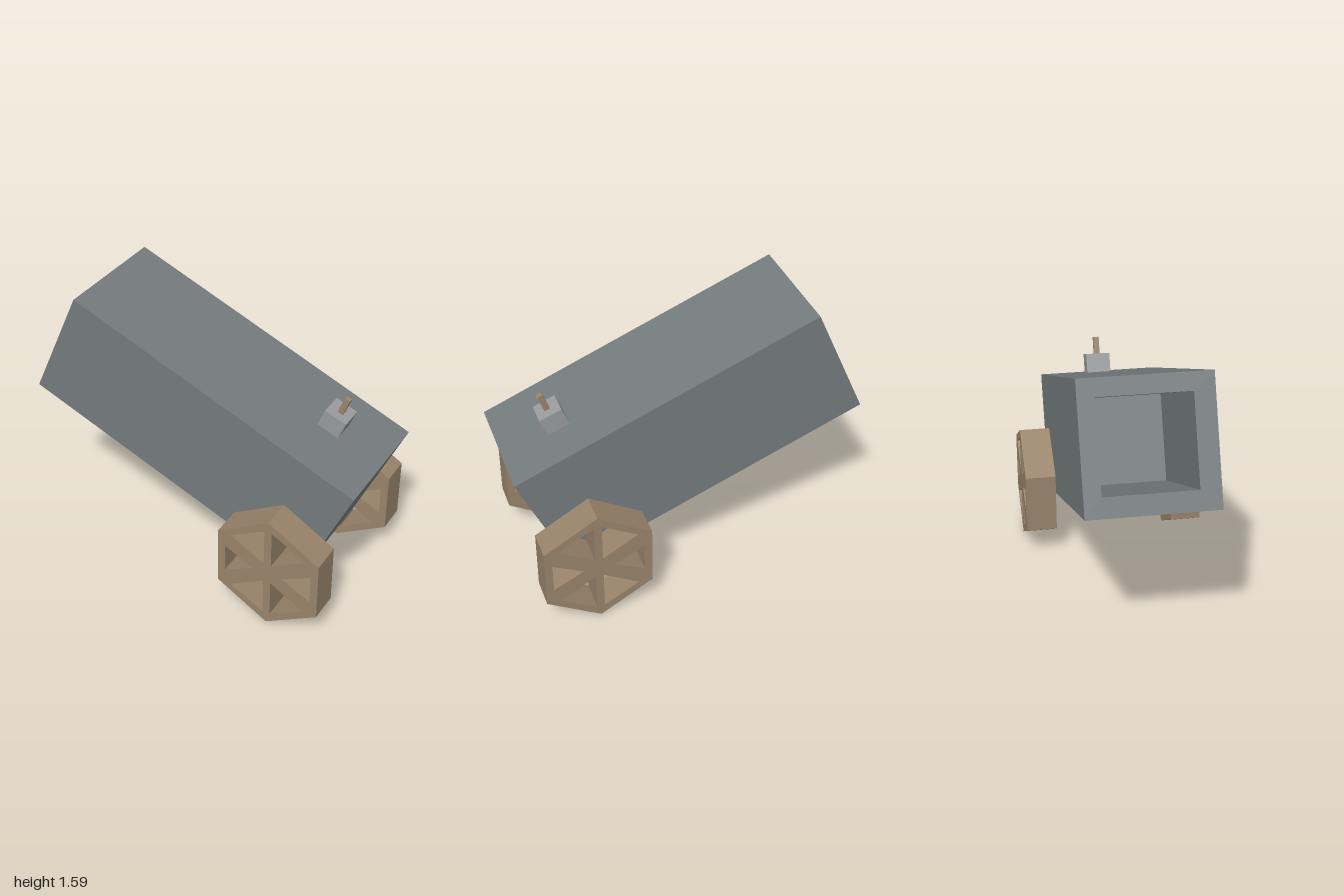
import * as THREE from 'three';

const gunmetal = new THREE.MeshStandardMaterial({ color: 0x747b7c, flatShading: true });
const wood = new THREE.MeshStandardMaterial({ color: 0x98836a, flatShading: true });
const steel = new THREE.MeshStandardMaterial({ color: 0x999a9c, flatShading: true });

// Rectangular cross-section standing at (x, y), leaning along the muzzle direction
function section(x, y, t0, t1, z0, z1) {
  const p = (t, z) => [x + 0.29 * t, y + 0.64 * t, z];
  return [p(t0, z1), p(t1, z1), p(t1, z0), p(t0, z0)];
}

// Square barrel: breech -> muzzle -> bore opening -> bore bottom
function barrelGeometry() {
  const depth = 0.95;
  const bore = [0.155, 0.86, -0.26, 0.24];
  const rings = [
    section(0.71, 0.255, 0, 1, -0.352, 0.352),
    section(-1, 0.95, 0, 1, -0.352, 0.352),
    section(-1, 0.95, ...bore),
    section(-1 + 0.91 * depth, 0.95 - 0.413 * depth, ...bore),
  ];
  const pos = [];
  const quad = (a, b, c, d) => pos.push(...a, ...b, ...c, ...a, ...c, ...d);
  for (let r = 0; r < 3; r++) {
    for (let i = 0; i < 4; i++) {
      const j = (i + 1) % 4;
      quad(rings[r][i], rings[r][j], rings[r + 1][j], rings[r + 1][i]);
    }
  }
  quad(...[...rings[0]].reverse()); // closed breech
  quad(...rings[3]); // bottom of the bore
  const g = new THREE.BufferGeometry();
  g.setAttribute('position', new THREE.Float32BufferAttribute(pos, 3));
  g.computeVertexNormals();
  return g;
}

// Hexagonal wheel with six triangular openings between the spokes
function wheelGeometry() {
  const points = (list) => list.map(([x, y]) => new THREE.Vector2(x, y));
  const rim = [];
  for (let i = 0; i < 6; i++) {
    const a = Math.PI / 2 + (i * Math.PI) / 3;
    rim.push([0.353 * Math.cos(a), 0.353 * Math.sin(a)]);
  }
  const shape = new THREE.Shape(points(rim));
  for (const sx of [-1, 1]) {
    shape.holes.push(new THREE.Path(points([[0.087 * sx, 0], [0.262 * sx, 0.086], [0.262 * sx, -0.086]])));
    for (const sy of [-1, 1]) {
      shape.holes.push(new THREE.Path(points([
        [0.022 * sx, 0.288 * sy], [0.225 * sx, 0.176 * sy], [0.022 * sx, 0.06 * sy],
      ])));
    }
  }
  const g = new THREE.ExtrudeGeometry(shape, { depth: 0.178, bevelEnabled: false });
  return g.translate(0, 0, -0.089);
}

export function createModel() {
  const model = new THREE.Group();
  model.name = 'cannon';

  const add = (name, geometry, material, x, y, z, tilt = 0) => {
    const mesh = new THREE.Mesh(geometry, material);
    mesh.name = name;
    mesh.position.set(x, y, z);
    mesh.rotation.z = tilt;
    model.add(mesh);
  };

  add('barrel', barrelGeometry(), gunmetal, 0, 0, 0);

  // Wheels on both flanks
  const wheel = wheelGeometry();
  add('frontWheel', wheel, wood, 0.6, 0.354, 0.441);
  add('backWheel', wheel, wood, 0.604, 0.354, -0.441);

  // Fuse holder and fuse on top of the breech
  add('fuseHolder', new THREE.BoxGeometry(0.134, 0.115, 0.14), steel, 0.703, 1.073, -0.04, -0.385);
  add('fuse', new THREE.BoxGeometry(0.033, 0.12, 0.033), wood, 0.741, 1.163, -0.038, -0.36);

  return model;
}
